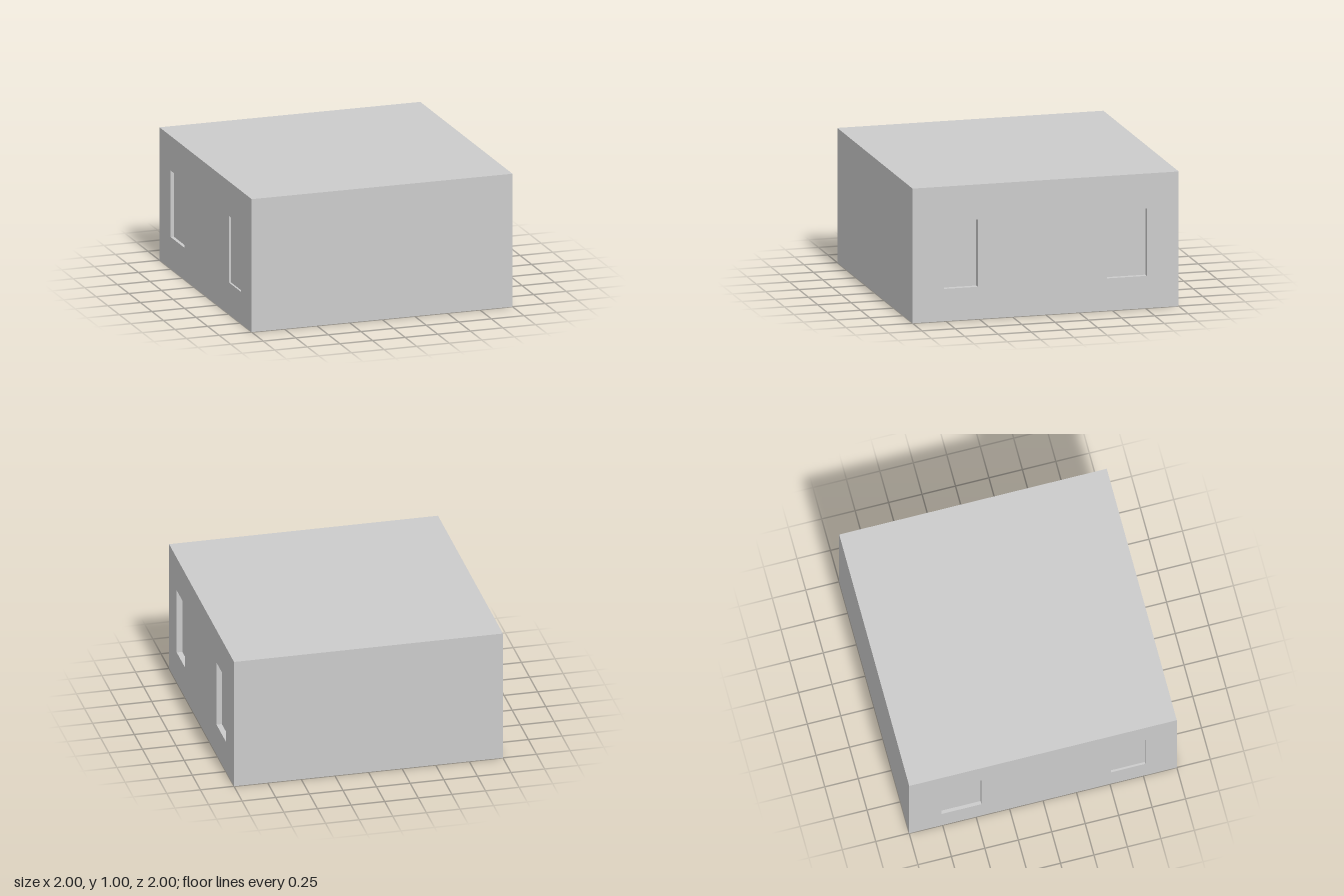
import * as THREE from 'three';

const material = new THREE.MeshStandardMaterial({ color: 0xcccccc, flatShading: true });
const H = Math.PI / 2;
const SILL = 0.24, HEAD = 0.74;

// Flat rectangle facing +z, turned about x and y
function panel(parent, name, w, h, [x, y, z], rotX = 0, rotY = 0) {
  const mesh = new THREE.Mesh(new THREE.PlaneGeometry(w, h), material);
  mesh.name = name;
  mesh.position.set(x, y, z);
  mesh.rotation.set(rotX, rotY, 0);
  parent.add(mesh);
}

// Recessed window between u0 and u1 in a wall at z = 1
function windowNiche(u0, u1, depth) {
  const niche = new THREE.Group();
  niche.name = 'windowNiche';
  const w = u1 - u0, h = HEAD - SILL;
  const u = (u0 + u1) / 2, v = (SILL + HEAD) / 2, mid = 1 - depth / 2;
  panel(niche, 'windowPane', w, h, [u, v, 1 - depth]);
  panel(niche, 'windowJamb', depth, h, [u0, v, mid], 0, H);
  panel(niche, 'windowJamb', depth, h, [u1, v, mid], 0, -H);
  panel(niche, 'windowSill', w, depth, [u, SILL, mid], -H);
  panel(niche, 'windowHead', w, depth, [u, HEAD, mid], H);
  return niche;
}

// Side wall with window openings; side is +1 for +x, -1 for -x
function sideWall(side, windows) {
  const group = new THREE.Group();
  group.name = side > 0 ? 'leftWall' : 'rightWall';
  const shape = new THREE.Shape([[-1, 0], [1, 0], [1, 1], [-1, 1]].map(p => new THREE.Vector2(...p)));
  for (const { z0, z1, depth } of windows) {
    const [u0, u1] = [-side * z0, -side * z1].sort((a, b) => a - b);
    shape.holes.push(new THREE.Path(
      [[u0, SILL], [u0, HEAD], [u1, HEAD], [u1, SILL]].map(p => new THREE.Vector2(...p))));
    group.add(windowNiche(u0, u1, depth));
  }
  const wall = new THREE.Mesh(new THREE.ShapeGeometry(shape), material);
  wall.name = 'wallFace';
  wall.position.z = 1;
  group.add(wall);
  group.rotation.y = side * H;
  return group;
}

export function createModel() {
  const model = new THREE.Group();
  model.name = 'building';

  // Plain faces of the block
  panel(model, 'frontWall', 2, 1, [0, 0.5, 1]);
  panel(model, 'backWall', 2, 1, [0, 0.5, -1], 0, Math.PI);
  panel(model, 'roof', 2, 2, [0, 1, 0], -H);
  panel(model, 'floor', 2, 2, [0, 0, 0], H);

  // Side walls, each with a narrow front and a wider rear window
  for (const [side, frontDepth, rearDepth] of [[1, 0.042, 0.04], [-1, 0.015, 0.025]]) {
    model.add(sideWall(side, [
      { z0: 0.51, z1: 0.765, depth: frontDepth },
      { z0: -0.76, z1: -0.46, depth: rearDepth },
    ]));
  }
  return model;
}
